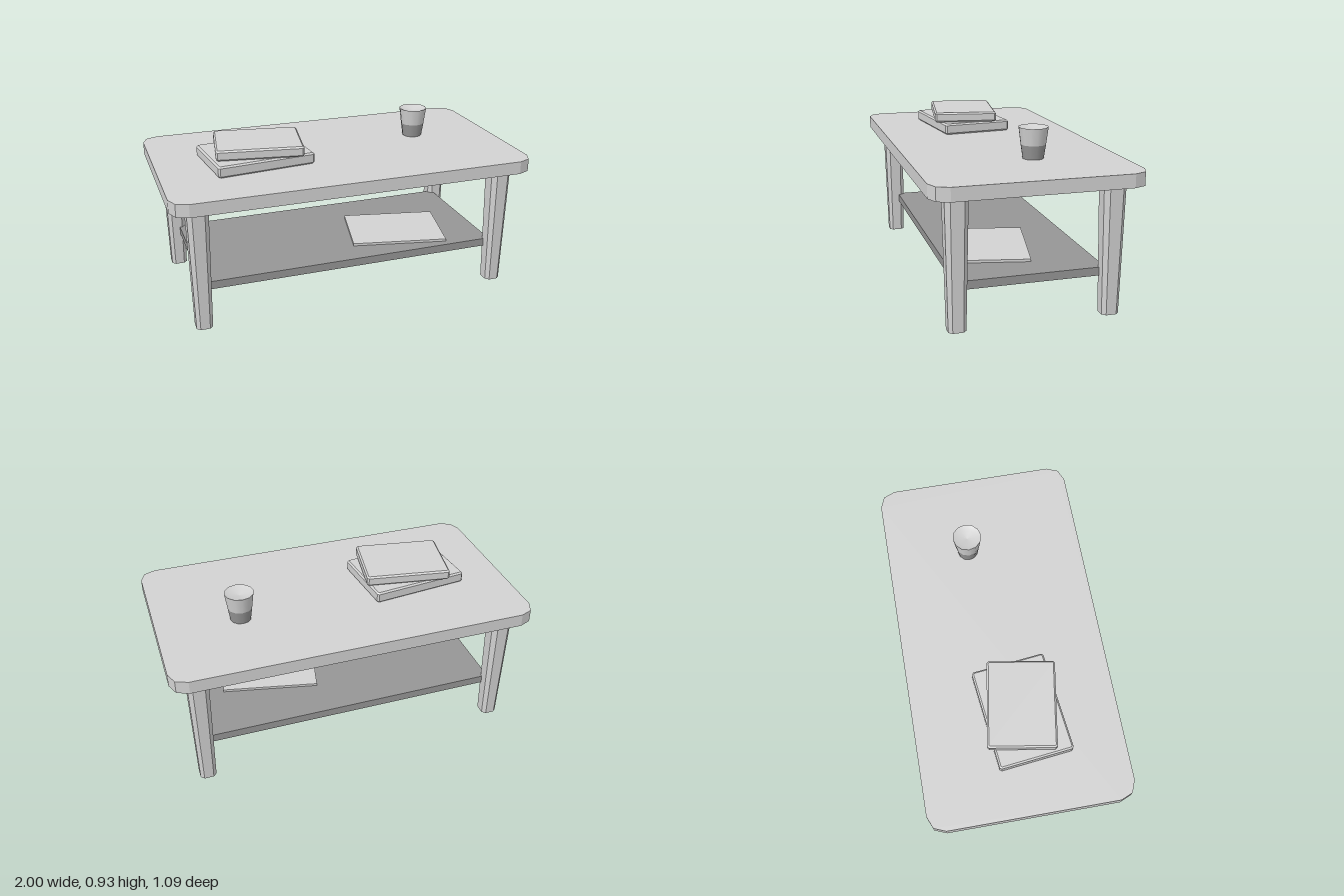
import * as THREE from 'three';

// Rectangle outline with corners cut or rounded by radius r, using n segments per corner
function cornerShape(halfW, halfD, r, n) {
  const points = [];
  [[1, 1], [-1, 1], [-1, -1], [1, -1]].forEach(([sx, sy], quarter) => {
    for (let i = 0; i <= n; i++) {
      const a = (quarter + i / n) * Math.PI / 2;
      points.push(new THREE.Vector2(
        sx * (halfW - r) + r * Math.cos(a),
        sy * (halfD - r) + r * Math.sin(a)));
    }
  });
  return new THREE.Shape(points);
}

// Extrude an outline straight up from y = 0
function slab(shape, height) {
  const geometry = new THREE.ExtrudeGeometry(shape, { depth: height, bevelEnabled: false });
  return geometry.rotateX(-Math.PI / 2);
}

export function createModel() {
  const model = new THREE.Group();
  model.name = 'coffeeTable';

  const light = new THREE.MeshStandardMaterial({ color: 0xd2d2d2 });
  light.name = 'light grey';
  const dark = new THREE.MeshStandardMaterial({ color: 0x969696 });
  dark.name = 'dark grey';

  const add = (name, geometry, material, x, y, z, turn = 0, parent = model) => {
    const mesh = new THREE.Mesh(geometry, material);
    mesh.name = name;
    mesh.position.set(x, y, z);
    mesh.rotation.y = turn;
    parent.add(mesh);
  };

  // Table top with faceted round corners
  add('tableTop', slab(cornerShape(1, 0.545, 0.09, 2), 0.071), light, 0, 0.692, 0);

  // Chamfered legs, narrower at the foot
  const legHeight = 0.692;
  const legGeometry = slab(cornerShape(0.057, 0.0595, 0.024, 1), legHeight);
  const p = legGeometry.attributes.position;
  for (let i = 0; i < p.count; i++) {
    const s = THREE.MathUtils.lerp(0.77, 1, p.getY(i) / legHeight);
    p.setX(i, p.getX(i) * s);
    p.setZ(i, p.getZ(i) * s);
  }
  legGeometry.computeVertexNormals();
  for (const [sx, side] of [[1, 'Left'], [-1, 'Right']]) {
    for (const [sz, end] of [[1, 'front'], [-1, 'back']]) {
      add(`${end}${side}Leg`, legGeometry, light, sx * 0.855, 0, sz * 0.402);
    }
  }

  // Lower shelf: a panel with a rim hanging below its edges
  add('shelfPanel', new THREE.BoxGeometry(1.68, 0.012, 0.77), dark, 0, 0.237, 0);
  const rim = cornerShape(0.84, 0.385, 0.001, 1);
  rim.holes.push(cornerShape(0.825, 0.37, 0.001, 1));
  add('shelfRim', slab(rim, 0.033), dark, 0, 0.198, 0);

  // Magazine on the shelf
  add('magazine', new THREE.BoxGeometry(0.54, 0.014, 0.4), light, 0.363, 0.25, 0.0925, -0.213);

  // Stacked books with every edge chamfered
  const book = (name, w, h, d, x, y, z, turn) => {
    const c = 0.009;
    const geometry = new THREE.ExtrudeGeometry(cornerShape(w / 2 - c, d / 2 - c, c / 2, 1), {
      depth: h - 2 * c, bevelThickness: c, bevelSize: c, bevelSegments: 1,
    });
    geometry.translate(0, 0, c).rotateX(-Math.PI / 2);
    add(name, geometry, light, x, y, z, turn);
  };
  book('lowerBook', 0.545, 0.063, 0.4, -0.455, 0.763, 0.035, 0.11);
  book('upperBook', 0.47, 0.057, 0.362, -0.437, 0.826, 0.035, -0.163);

  // Cup: dark base, light wall and a shallow dished mouth
  const cup = new THREE.Group();
  cup.name = 'cup';
  cup.position.set(0.543, 0.763, -0.0915);
  model.add(cup);
  const lathe = (name, profile, material) => add(name,
    new THREE.LatheGeometry(profile.map(([r, y]) => new THREE.Vector2(r, y)), 12),
    material, 0, 0, 0, 0, cup);
  lathe('cupBase', [[0.056, 0], [0.067, 0.074]], dark);
  lathe('cupWall', [[0.067, 0.074], [0.079, 0.165]], light);
  lathe('cupMouth', [[0.079, 0.165], [0.05, 0.154], [0, 0.146]], light);
  lathe('cupBottom', [[0, 0], [0.056, 0]], dark);

  return model;
}
